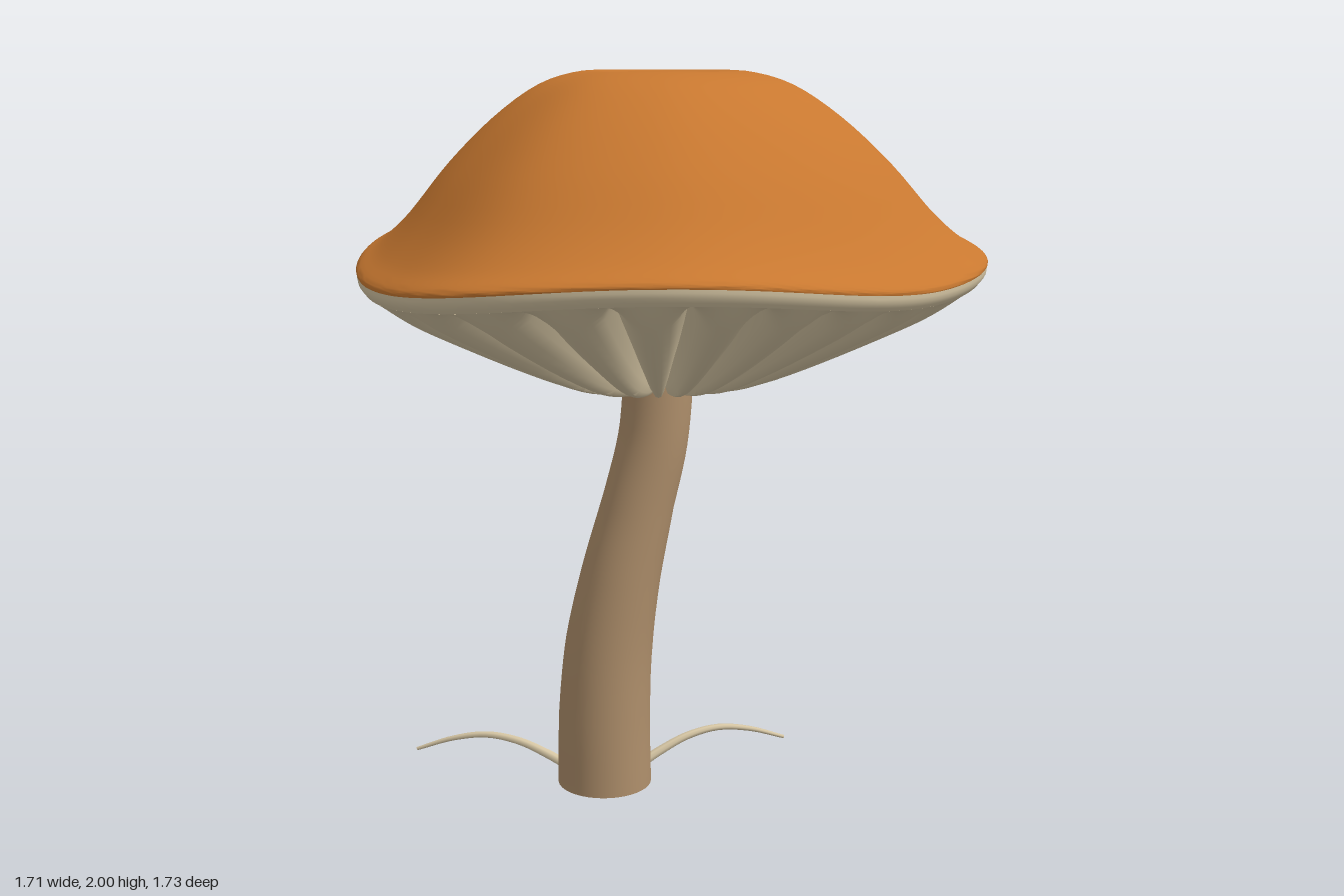
import * as THREE from 'three';
import { toCreasedNormals } from 'three/addons/utils/BufferGeometryUtils.js';

const CX = -0.03, CZ = 0.01;      // cap axis
const GILLS = 26;
const v3 = (x, y, z) => new THREE.Vector3(x, y, z);

// Wavy outline of the cap: radius every 30 degrees, joined smoothly
const RADII = [0.885, 0.825, 0.802, 0.846, 0.893, 0.831, 0.82, 0.856, 0.866, 0.873, 0.814, 0.852];
const outline = new THREE.CatmullRomCurve3(
  RADII.map((r, i) => v3(r * Math.cos(i * Math.PI / 6), 0, r * Math.sin(i * Math.PI / 6))), true);
function rimRadius(a) {
  const p = outline.getPoint((a / (2 * Math.PI)) % 1);
  return Math.hypot(p.x, p.z);
}

// Sweep a profile of (fraction of rim radius, height) round the cap axis;
// profiles running outward face up, those running inward face down.
// The rim rises and falls in three waves, and lift() adds folds
function sweep(points, rings, sides, lift = () => 0) {
  const profile = new THREE.SplineCurve(points.map(([s, y]) => new THREE.Vector2(s, y)));
  const pos = [], idx = [];
  for (let i = 0; i <= rings; i++) {
    const p = profile.getPoint(i / rings);
    for (let j = 0; j <= sides; j++) {
      const a = (j % sides) / sides * Math.PI * 2;
      const r = p.x * rimRadius(a);
      const y = p.y - 0.03 * Math.sin(3 * a) * p.x ** 2.5 + lift(p.x, a);
      pos.push(CX + r * Math.cos(a), y, CZ + r * Math.sin(a));
      if (i < rings && j < sides) {
        const q = i * (sides + 1) + j, n = q + sides + 1;
        idx.push(q, q + 1, n, q + 1, n + 1, n);
      }
    }
  }
  const g = new THREE.BufferGeometry();
  g.setAttribute('position', new THREE.Float32BufferAttribute(pos, 3));
  g.setIndex(idx);
  return toCreasedNormals(g, 0.7);
}

// Tube whose radius follows radiusAt(t) along its path
function taperedTube(points, segments, sides, radiusAt) {
  const curve = new THREE.CatmullRomCurve3(points);
  const g = new THREE.TubeGeometry(curve, segments, 1, sides);
  const pos = g.attributes.position, p = new THREE.Vector3();
  for (let i = 0; i < pos.count; i++) {
    const t = Math.floor(i / (sides + 1)) / segments;
    const c = curve.getPointAt(t);
    p.fromBufferAttribute(pos, i).sub(c).multiplyScalar(radiusAt(t)).add(c);
    pos.setXYZ(i, p.x, p.y, p.z);
  }
  return g;
}

export function createModel() {
  const model = new THREE.Group();
  const material = (name, color) => {
    const m = new THREE.MeshStandardMaterial({ color });
    m.name = name;
    return m;
  };
  const orange = material('cap orange', 0xc87830);
  const cream = material('gill cream', 0xd6c6a4);
  const tan = material('stem tan', 0xb0906c);
  cream.side = THREE.DoubleSide;
  const add = (name, geometry, mat) => {
    const mesh = new THREE.Mesh(geometry, mat);
    mesh.name = name;
    model.add(mesh);
    return mesh;
  };

  // Cap with a shallow dimple and a flared lip
  add('cap', sweep([[0, 1.979], [0.07, 1.983], [0.16, 1.993], [0.26, 1.998], [0.4, 1.963], [0.55, 1.876],
    [0.7, 1.755], [0.83, 1.625], [0.92, 1.553], [0.985, 1.518], [1, 1.505], [0.999, 1.497]], 44, 120), orange);

  // Pale band under the lip
  add('rimBand', sweep([[0.999, 1.497], [0.996, 1.477], [0.978, 1.457]], 4, 120), cream);

  // Gills: rounded pleats with sharp valleys, fading out at the rim
  const pleat = (s, a) => {
    const depth = 0.085 * Math.min(1, s / 0.3) * Math.min(1, Math.max(0, (0.978 - s) / 0.12));
    return depth * (1 - Math.abs(Math.sin(a * GILLS / 2))) ** 1.3;
  };
  add('gills', sweep([[0.978, 1.457], [0.9, 1.405], [0.78, 1.345], [0.55, 1.245], [0.35, 1.172],
    [0.2, 1.145], [0.08, 1.14]], 24, GILLS * 8, pleat), cream);

  // Leaning stem, thicker at the foot
  const stemRadii = [0.133, 0.13, 0.123, 0.111, 0.1, 0.097, 0.097];
  const stemRadius = (t) => {
    const k = Math.min(t * 6, 5.999), i = Math.floor(k);
    return THREE.MathUtils.lerp(stemRadii[i], stemRadii[i + 1], k - i);
  };
  add('stem', taperedTube([v3(-0.192, 0, 0.067), v3(-0.191, 0.2, 0.066), v3(-0.178, 0.4, 0.06),
    v3(-0.145, 0.6, 0.05), v3(-0.098, 0.8, 0.034), v3(-0.052, 1, 0.021), v3(-0.036, 1.2, 0.014),
    v3(-0.035, 1.24, 0.012)], 36, 40, stemRadius), tan);
  const foot = add('stemFoot', new THREE.CircleGeometry(0.133, 40), tan);
  foot.rotation.x = Math.PI / 2;
  foot.position.set(-0.192, 0, 0.067);

  // Three thin arching tendrils around the foot
  const tips = [[0.33, -0.155], [-0.75, -0.04], [-0.22, -0.5]];
  tips.forEach(([tx, tz], i) => {
    const at = (t, y) => v3(-0.19 + (tx + 0.19) * t, y, 0.065 + (tz - 0.065) * t);
    const path = [at(0.18, 0.028), at(0.3, 0.062), at(0.45, 0.095), at(0.62, 0.107), at(0.8, 0.088), at(1, 0.045)];
    add('tendril' + (i + 1), taperedTube(path, 24, 8, (t) => 0.015 - 0.01 * t), cream);
  });

  return model;
}
